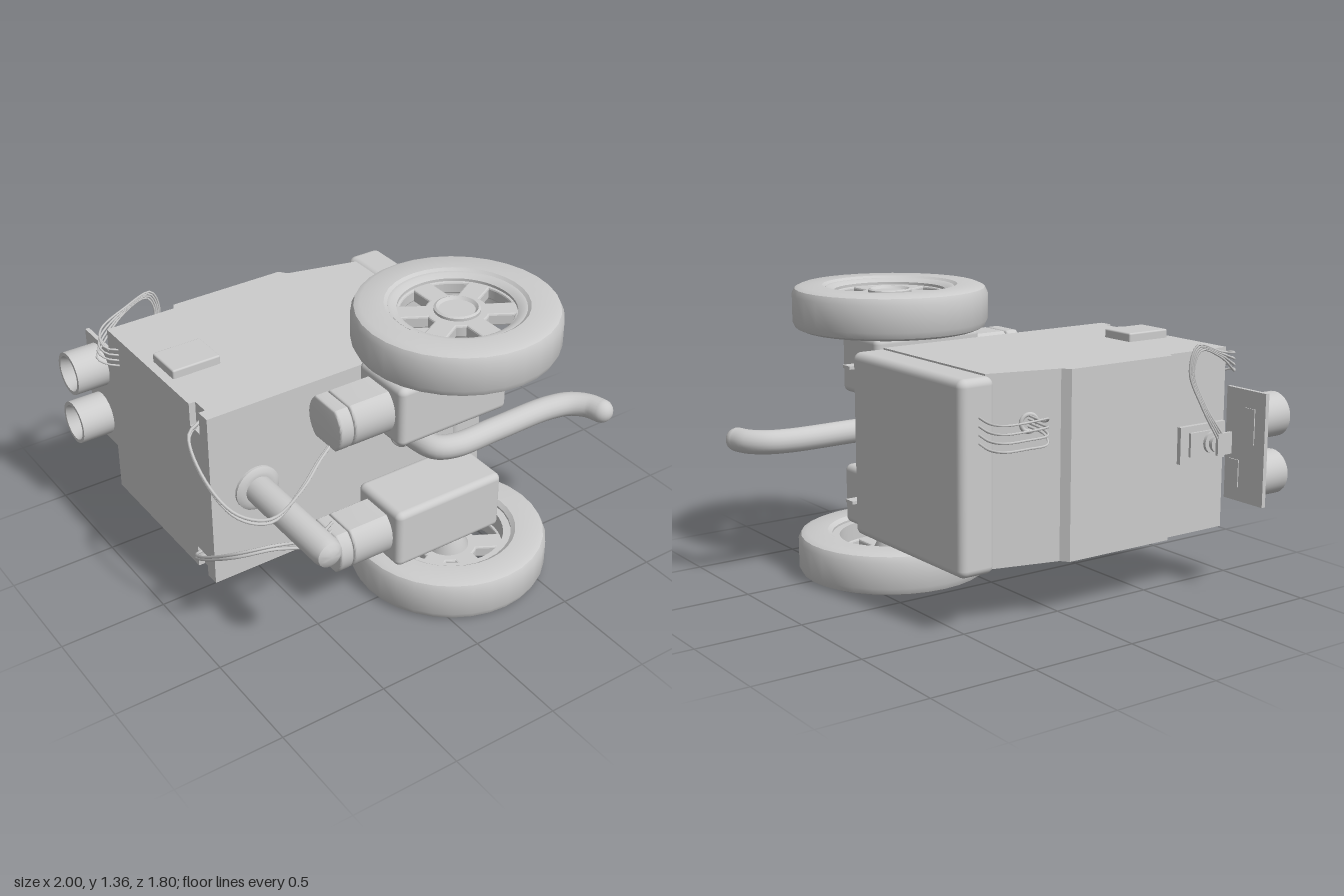
import * as THREE from 'three';
import { toCreasedNormals } from 'three/addons/utils/BufferGeometryUtils.js';
import { RoundedBoxGeometry } from 'three/addons/geometries/RoundedBoxGeometry.js';

const MID = 0.685; // height of the plane the model mirrors about
const mat = new THREE.MeshStandardMaterial({ color: 0xcccccc, side: THREE.DoubleSide });
const V = (x, y, z) => new THREE.Vector3(x, y, z);
const P = (x, y) => new THREE.Vector2(x, y);

export function createModel() {
  const model = new THREE.Group();
  model.name = 'wheeledRobot';

  const add = (name, geo, parent = model) => {
    const mesh = new THREE.Mesh(geo, mat);
    mesh.name = name;
    parent.add(mesh);
    return mesh;
  };
  // Box from its min and max corners, rounded when r > 0
  const box = (name, [x0, y0, z0], [x1, y1, z1], r = 0) => {
    const s = [x1 - x0, y1 - y0, z1 - z0];
    const geo = r ? new RoundedBoxGeometry(...s, 4, r) : new THREE.BoxGeometry(...s);
    return add(name, geo.translate((x0 + x1) / 2, (y0 + y1) / 2, (z0 + z1) / 2));
  };
  // Slab with an outline in x, z, from height y0 to y1
  const slab = (name, outline, y0, y1) => {
    const shape = new THREE.Shape(outline.map(([x, z]) => P(x, -z)));
    const geo = new THREE.ExtrudeGeometry(shape, { depth: y1 - y0, bevelEnabled: false });
    return add(name, geo.rotateX(-Math.PI / 2).translate(0, y0, 0));
  };
  const lathe = (points, sides) =>
    toCreasedNormals(new THREE.LatheGeometry(points.map(([r, y]) => P(r, y)), sides), 0.6);
  const tube = (name, points, r, steps = 40, sides = 6) =>
    add(name, new THREE.TubeGeometry(new THREE.CatmullRomCurve3(points), steps, r, sides));

  // Body with wire notches in the upper and lower side edges
  const front = [[-0.88, 0.285], [0.39, 0.285], [0.39, -0.5], [0.03, -0.59], [-0.88, -0.59]];
  const notch = [[-0.88, 0.14], [-0.85, 0.14], [-0.85, 0.22], [-0.88, 0.22]];
  slab('body', front, 0.37, 1.0);
  slab('bodyBottom', [...front, ...notch], 0.265, 0.37);
  slab('bodyTop', [...front, ...notch], 1.0, 1.105);
  slab('backPanel', [[-0.55, -0.58], [0.06, -0.58], [0.03, -0.62], [-0.53, -0.62]], 0.265, 1.105);
  box('endPlate', [0.385, 0.265, -0.57], [0.56, 1.105, 0.285], 0.035);

  // Straight prop with a collar
  const prop = lathe([[0, 0], [0.105, 0], [0.105, 0.012], [0.085, 0.025], [0.065, 0.025], [0.065, 0.53],
    [0.057, 0.56], [0.035, 0.575], [0, 0.58]], 24);
  add('prop', prop.rotateX(Math.PI / 2)).position.set(-0.66, MID, 0.285);

  // Bent arm with a collar and rounded tip
  tube('arm', [V(0.12, MID, 0.27), V(0.12, MID, 0.4), V(0.145, MID, 0.475), V(0.22, MID, 0.51), V(0.45, MID, 0.51),
    V(0.75, MID, 0.51), V(0.86, MID, 0.54), V(0.92, MID, 0.6), V(0.94, MID, 0.665)], 0.055, 60, 20);
  add('armTip', new THREE.SphereGeometry(0.055, 20, 12)).position.set(0.94, MID, 0.665);
  const collar = lathe([[0, 0], [0.085, 0], [0.085, 0.012], [0.07, 0.025], [0, 0.025]], 24);
  add('armCollar', collar.rotateX(Math.PI / 2)).position.set(0.12, MID, 0.285);

  // Tyre, rim and spoked disc, shared by both wheels
  const tyre = lathe([[0.29, -0.085], [0.31, -0.1], [0.41, -0.1], [0.437, -0.088], [0.45, -0.06], [0.45, 0.06],
    [0.437, 0.088], [0.41, 0.1], [0.31, 0.1], [0.29, 0.085], [0.29, -0.085]], 32);
  const rim = lathe([[0.255, -0.075], [0.295, -0.075], [0.295, 0.09], [0.28, 0.09], [0.255, 0.075],
    [0.255, -0.075]], 48);
  const disc = new THREE.Shape().absarc(0, 0, 0.265, 0, Math.PI * 2);
  for (let i = 0; i < 6; i++) {
    const a = i * Math.PI / 3, hole = new THREE.Path();
    hole.absarc(0, 0, 0.25, a - 0.35, a + 0.35, false);
    hole.absarc(0, 0, 0.13, a + 0.2, a - 0.2, true);
    hole.closePath();
    disc.holes.push(hole);
  }
  const spokes = new THREE.ExtrudeGeometry(disc, {
    depth: 0.04, bevelThickness: 0.008, bevelSize: 0.008, bevelSegments: 2, curveSegments: 24,
  }).rotateX(-Math.PI / 2).translate(0, 0.015, 0);
  const hub = lathe([[0, -0.08], [0.06, -0.08], [0.1, 0.01], [0.1, 0.075], [0.09, 0.08], [0.078, 0.068],
    [0, 0.068]], 32);
  // Motor can with two flattened sides
  const f = Math.asin(0.0975 / 0.1225), can = new THREE.Shape();
  can.absarc(0, 0, 0.1125, -f, f, false);
  can.absarc(0, 0, 0.1125, Math.PI - f, Math.PI + f, false);
  can.closePath();
  const canPart = (x0, x1) => toCreasedNormals(new THREE.ExtrudeGeometry(can, {
    depth: x1 - x0 - 0.02, bevelThickness: 0.01, bevelSize: 0.01, bevelSegments: 3, curveSegments: 10,
  }).rotateY(Math.PI / 2), 0.6).translate(x0 + 0.01, 0, 0);

  // Drive sides and their wiring, mirrored in height (s = +1 upper, -1 lower)
  for (const s of [1, -1]) {
    const name = s > 0 ? 'upper' : 'lower';
    const y = d => MID + s * d;
    const span = (part, x0, x1, d0, d1, z0, z1, r) =>
      box(name + part, [x0, Math.min(y(d0), y(d1)), z0], [x1, Math.max(y(d0), y(d1)), z1], r);

    const wheel = new THREE.Group();
    wheel.name = name + 'Wheel';
    wheel.position.set(0.25, y(0.582), 0.45);
    if (s < 0) wheel.rotation.x = Math.PI;
    model.add(wheel);
    add('tyre', tyre, wheel);
    add('rim', rim, wheel);
    add('spokes', spokes, wheel);
    add('hub', hub, wheel);

    add(name + 'Axle', new THREE.CylinderGeometry(0.025, 0.025, 0.26, 16)).position.set(0.25, y(0.45), 0.45);
    span('Gearbox', -0.15, 0.42, 0.175, 0.46, 0.3, 0.61, 0.03);
    span('GearboxTab', 0.4, 0.49, 0.31, 0.325, 0.42, 0.48);
    add(name + 'MotorCap', canPart(-0.42, -0.352)).position.set(0, y(0.318), 0.447);
    add(name + 'Motor', canPart(-0.348, -0.12)).position.set(0, y(0.318), 0.447);
    span('SideButton', -0.84, -0.61, 0.41, 0.46, -0.24, -0.06, 0.008);

    for (const k of [0, 1]) {
      const d = k * 0.018;
      tube(name + 'MotorWire' + k, [V(-0.85, y(0.33 + d), 0.16 + d), V(-0.92, y(0.3 + d), 0.2), V(-0.95, y(0.2), 0.36 + d),
        V(-0.9, y(0.09 + d), 0.53), V(-0.78, y(0.06 + d), 0.6), V(-0.62, y(0.13 + d), 0.565 + d),
        V(-0.5, y(0.19 + d), 0.51 + d), V(-0.38, y(0.21 + d), 0.44 + d)], 0.007);
    }

    // Hollow sensor barrel facing sideways
    const barrel = lathe([[0, 0], [0.102, 0], [0.102, 0.16], [0.085, 0.16], [0.055, 0.08], [0, 0.08]], 28);
    add(name + 'SensorBarrel', barrel.rotateZ(Math.PI / 2)).position.set(-0.84, y(0.1325), -0.785);
  }

  // Sensor board, its chips and wire header
  box('sensorBoard', [-0.845, 0.43, -0.905], [-0.825, 0.945, -0.665]);
  box('upperChip', [-0.808, 0.71, -0.86], [-0.803, 0.87, -0.8]);
  box('lowerChip', [-0.808, 0.5, -0.77], [-0.803, 0.625, -0.71]);
  box('wireHeader', [-0.84, 0.64, -0.705], [-0.74, 0.74, -0.69]);

  // Swivel mount that carries the board
  box('swivelPlate', [-0.87, 0.6, -0.612], [-0.6, 0.77, -0.585]);
  box('swivelBase', [-0.83, 0.63, -0.625], [-0.65, 0.74, -0.6]);
  const pivot = lathe([[0, 0], [0.05, 0], [0.05, 0.02], [0.03, 0.02], [0.03, 0.035], [0.04, 0.035],
    [0.04, 0.05], [0.015, 0.05], [0.015, 0.075], [0, 0.075]], 20);
  add('swivelPivot', pivot.rotateX(-Math.PI / 2)).position.set(-0.775, MID, -0.62);

  // Cable bundles to the sensor board and the end plate
  for (let i = 0; i < 4; i++) {
    const y = 0.965 + i * 0.027, d = i * 0.008;
    tube('sensorWire' + i, [V(-0.87, y, -0.49), V(-0.925, y + 0.015, -0.515), V(-0.952 + d, y + 0.03, -0.56),
      V(-0.88, y + 0.04, -0.645), V(-0.74, 1.09 + d, -0.7), V(-0.62 + d, 1.13 + d, -0.705),
      V(-0.585 + d, 1.04, -0.7), V(-0.66 + d, 0.88, -0.7), V(-0.79 + i * 0.015, 0.71, -0.7)], 0.005);
    const h = 0.835 + i * 0.036;
    tube('plateWire' + i, [V(0.2, 0.87 + d * 2, -0.53), V(0.205, (h + 0.88) / 2, -0.66), V(0.25, h, -0.74),
      V(0.36, h, -0.757), V(0.475, h, -0.75), V(0.5, h, -0.7), V(0.465, h, -0.56)], 0.005);
  }

  // Cable grommet on the sloping back
  const grommet = add('cableGrommet', new THREE.TorusGeometry(0.037, 0.01, 8, 24));
  grommet.position.set(0.2, 0.885, -0.55);
  grommet.rotation.y = -0.245;

  return model;
}
